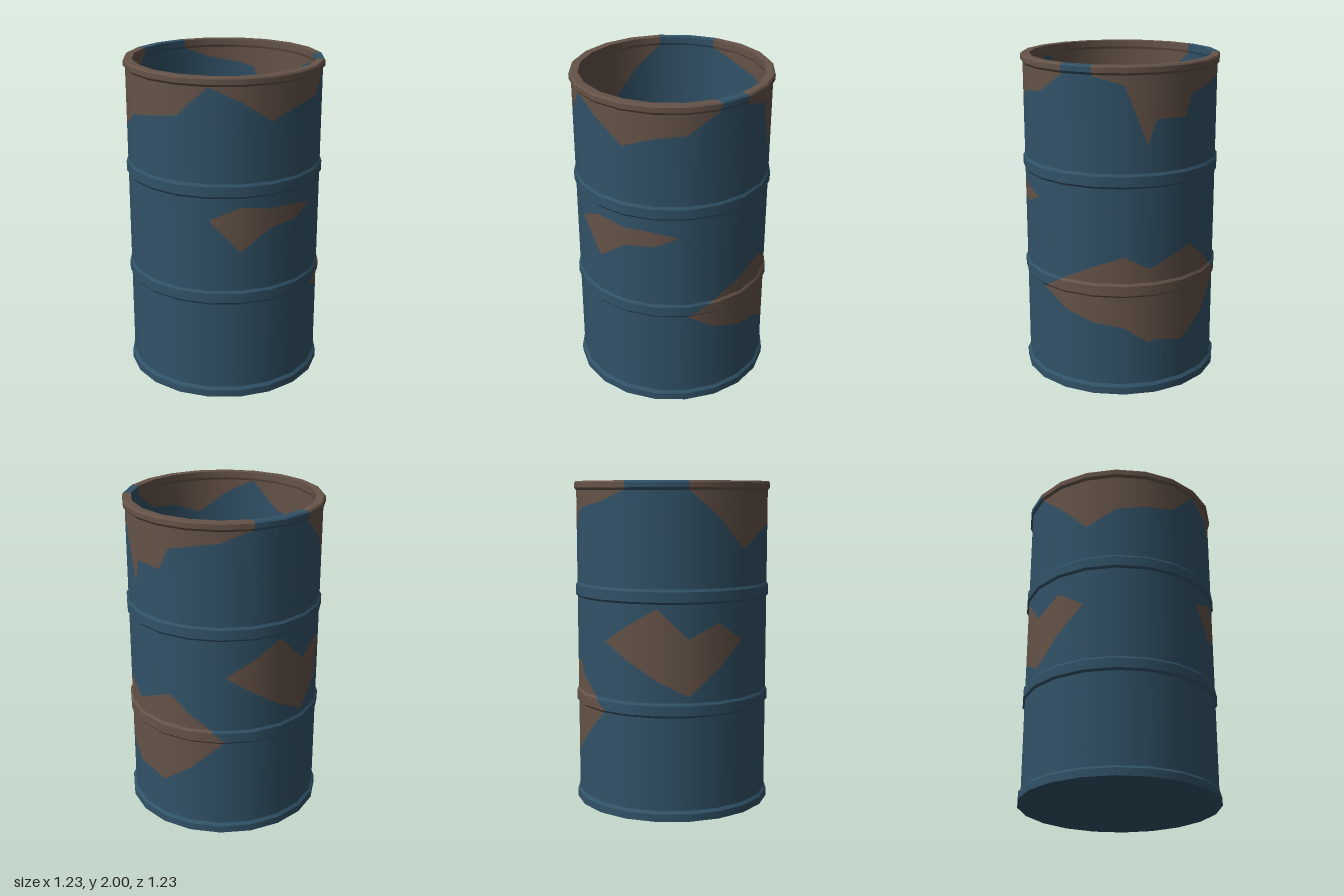
import * as THREE from 'three';

const SIDES = 20, STEP = 360 / SIDES, RAD = Math.PI / 180;

// Rust patches: [angle from the front towards +x, low edge, high edge]
const RUST = [
  // rim, front and right-hand side
  [[-144, 1.95, 2.01], [-126, 1.79, 2.01], [-108, 1.6, 2.01], [-90, 1.71, 2.01], [-54, 1.77, 2.01],
    [-36, 1.945, 2.01], [-18, 1.86, 2.01], [0, 1.735, 2.01], [18, 1.8, 2.01], [36, 1.82, 2.01], [54, 1.94, 2.01]],
  // rim, left-hand side and back
  [[72, 1.94, 2.01], [90, 1.89, 2.01], [103, 1.545, 2.01], [108, 1.695, 2.01], [126, 1.69, 2.01],
    [132, 1.82, 2.01], [144, 1.85, 2.01], [162, 1.88, 2.01], [180, 1.95, 2.01]],
  // front
  [[-35, 1.15, 1.165], [-18, 0.96, 1.24], [0, 1.095, 1.215], [18, 1.115, 1.21], [32, 1.175, 1.175]],
  // left-hand side
  [[37, 0.62, 0.62], [54, 0.52, 0.725], [72, 0.46, 0.815], [90, 0.43, 0.88], [104, 0.325, 0.8],
    [108, 0.345, 0.815], [126, 0.305, 0.895], [132, 0.35, 0.91], [144, 0.44, 0.81], [165, 0.64, 0.64]],
  // back
  [[165, 1.06, 1.06], [180, 0.96, 1.16], [198, 0.845, 1.27], [216, 0.75, 1.09], [234, 0.91, 1.18], [251, 1.07, 1.07]],
];

// Low and high edge of a patch at an angle inside it
function edgesAt(patch, angle) {
  for (let i = 1; i < patch.length; i++) {
    const [a, l0, h0] = patch[i - 1], [b, l1, h1] = patch[i];
    if (angle <= b + 1e-6) {
      const t = (angle - a) / (b - a);
      return [l0 + (l1 - l0) * t, h0 + (h1 - h0) * t];
    }
  }
  return patch[patch.length - 1].slice(1);
}

// Keep the part of an [angle, y] polygon where sign * (y - limit) >= 0
function clip(poly, limit, sign) {
  const out = [];
  poly.forEach((p, i) => {
    const q = poly[(i + 1) % poly.length];
    const dp = sign * (p[1] - limit), dq = sign * (q[1] - limit);
    if (dp >= 0) out.push(p);
    if (dp * dq < 0) {
      const t = dp / (dp - dq);
      out.push([p[0] + (q[0] - p[0]) * t, p[1] + (q[1] - p[1]) * t]);
    }
  });
  return out;
}

// Columns of alternating paint and rust regions around the drum
function makeRegions() {
  const cuts = new Set();
  for (let i = 0; i <= SIDES; i++) cuts.add(i * STEP);
  RUST.forEach((patch) => patch.forEach(([a]) => cuts.add((a + 360) % 360)));
  const angles = [...cuts].sort((a, b) => a - b);
  const regions = [];
  for (let i = 1; i < angles.length; i++) {
    const a = angles[i - 1], b = angles[i], mid = (a + b) / 2;
    const spans = [];
    for (const patch of RUST) for (const shift of [0, -360]) {
      const m = mid + shift;
      if (m > patch[0][0] && m < patch[patch.length - 1][0])
        spans.push([edgesAt(patch, a + shift), edgesAt(patch, b + shift)]);
    }
    spans.sort((s, t) => s[0][0] + s[1][0] - t[0][0] - t[1][0]);
    const add = (l, r, l2, r2, rust) => regions.push({ rust, poly: [[a, l], [b, r], [b, r2], [a, l2]] });
    let left = -0.01, right = -0.01;
    for (const [[l0, l1], [r0, r1]] of spans) {
      add(left, right, l0, r0, false);
      add(l0, r0, l1, r1, true);
      left = l1; right = r1;
    }
    add(left, right, 2.01, 2.01, false);
  }
  return regions;
}

// Twenty-sided shell swept from a [radius, y] profile, split into paint and rust
function makeShell(name, profile, regions, materials) {
  const lists = [{ pos: [], nor: [] }, { pos: [], nor: [] }];
  for (let k = 1; k < profile.length; k++) {
    const [r0, y0] = profile[k - 1], [r1, y1] = profile[k];
    const len = Math.hypot(r1 - r0, y1 - y0);
    const nr = (y1 - y0) / len, ny = (r0 - r1) / len;
    const put = (list, [angle, y]) => {
      const r = r0 + (r1 - r0) * (y - y0) / (y1 - y0);
      const base = Math.floor(angle / STEP) * STEP, t = (angle - base) / STEP;
      const mix = (f) => f(base * RAD) * (1 - t) + f((base + STEP) * RAD) * t;
      list.pos.push(r * mix(Math.sin), y, r * mix(Math.cos));
      list.nor.push(nr * Math.sin(angle * RAD), ny, nr * Math.cos(angle * RAD));
    };
    for (const { rust, poly } of regions) {
      const piece = clip(clip(poly, Math.min(y0, y1), 1), Math.max(y0, y1), -1);
      if (y1 < y0) piece.reverse();
      for (let i = 2; i < piece.length; i++)
        [piece[0], piece[i - 1], piece[i]].forEach((p) => put(lists[rust ? 1 : 0], p));
    }
  }
  const geo = new THREE.BufferGeometry();
  geo.setAttribute('position', new THREE.Float32BufferAttribute(lists[0].pos.concat(lists[1].pos), 3));
  geo.setAttribute('normal', new THREE.Float32BufferAttribute(lists[0].nor.concat(lists[1].nor), 3));
  const n = lists[0].pos.length / 3;
  geo.addGroup(0, n, 0);
  geo.addGroup(n, lists[1].pos.length / 3, 1);
  const mesh = new THREE.Mesh(geo, materials);
  mesh.name = name;
  return mesh;
}

export function createModel() {
  const drum = new THREE.Group();
  drum.name = 'openDrum';
  const paint = new THREE.MeshStandardMaterial({ color: 0x315267 });
  paint.name = 'bluePaint';
  const rust = new THREE.MeshStandardMaterial({ color: 0x655348 });
  rust.name = 'rust';
  const regions = makeRegions();

  // Outer wall with foot ring, two rolled hoops and top rim
  const W = 0.597;
  const hoop = (y) => [[W, y - 0.046], [0.608, y - 0.033], [0.608, y + 0.027], [W, y + 0.042]];
  const outer = [[0.613, 0], [0.613, 0.045], [W, 0.062], ...hoop(0.672), ...hoop(1.34),
    [W, 1.945], [0.61, 1.96], [0.61, 1.99], [0.602, 2]];
  drum.add(makeShell('outerWall', outer, regions, [paint, rust]));

  // Top of the rim and inner wall
  const inner = [[0.602, 2], [0.556, 1.999], [0.556, 1.96], [0.562, 1.945], [0.562, 0.04]];
  drum.add(makeShell('rimAndInnerWall', inner, regions, [paint, rust]));

  // Floor inside and base underneath
  const disc = (name, radius, y, tilt) => {
    const mesh = new THREE.Mesh(new THREE.CircleGeometry(radius, SIDES), paint);
    mesh.name = name;
    mesh.rotation.x = tilt;
    mesh.position.y = y;
    drum.add(mesh);
  };
  disc('floor', 0.562, 0.04, -Math.PI / 2);
  disc('base', 0.613, 0, Math.PI / 2);
  return drum;
}
